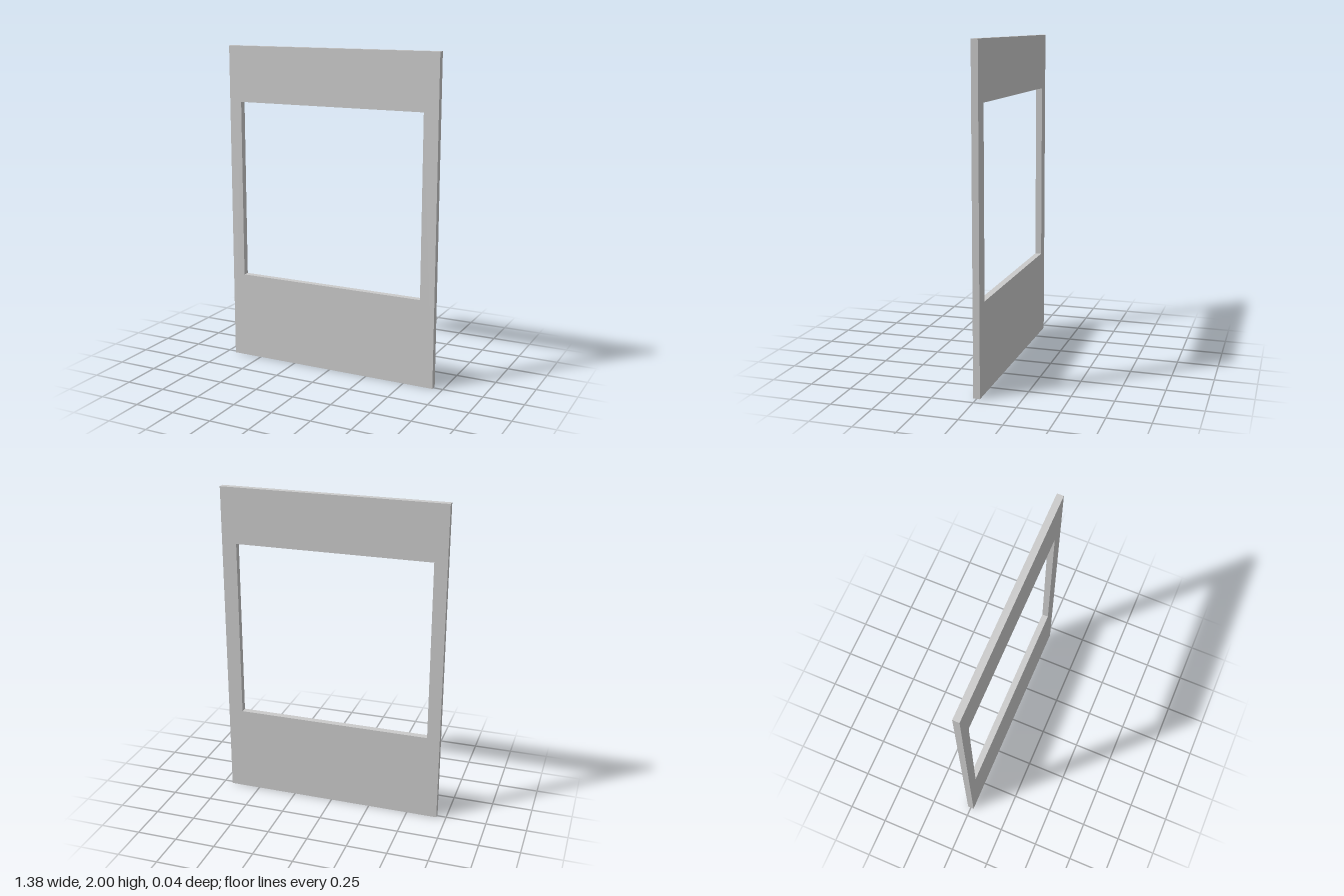
import * as THREE from 'three';

const WIDTH = 1.382, HEIGHT = 2, DEPTH = 0.04;
const OPENING = { left: -0.612, right: 0.6, bottom: 0.544, top: 1.656 };

// Rectangular outline between two corners
function rectangle(path, x0, y0, x1, y1) {
  path.moveTo(x0, y0);
  path.lineTo(x1, y0);
  path.lineTo(x1, y1);
  path.lineTo(x0, y1);
  path.closePath();
  return path;
}

export function createModel() {
  const group = new THREE.Group();
  group.name = 'photoFrame';

  // Flat panel with a window, wider border at the bottom
  const shape = rectangle(new THREE.Shape(), -WIDTH / 2, 0, WIDTH / 2, HEIGHT);
  shape.holes.push(rectangle(new THREE.Path(), OPENING.left, OPENING.bottom, OPENING.right, OPENING.top));

  const geometry = new THREE.ExtrudeGeometry(shape, { depth: DEPTH, bevelEnabled: false });
  geometry.translate(0, 0, -DEPTH / 2);

  const frame = new THREE.Mesh(geometry, new THREE.MeshStandardMaterial({ color: 0xcccccc }));
  frame.name = 'frame';
  group.add(frame);
  return group;
}
